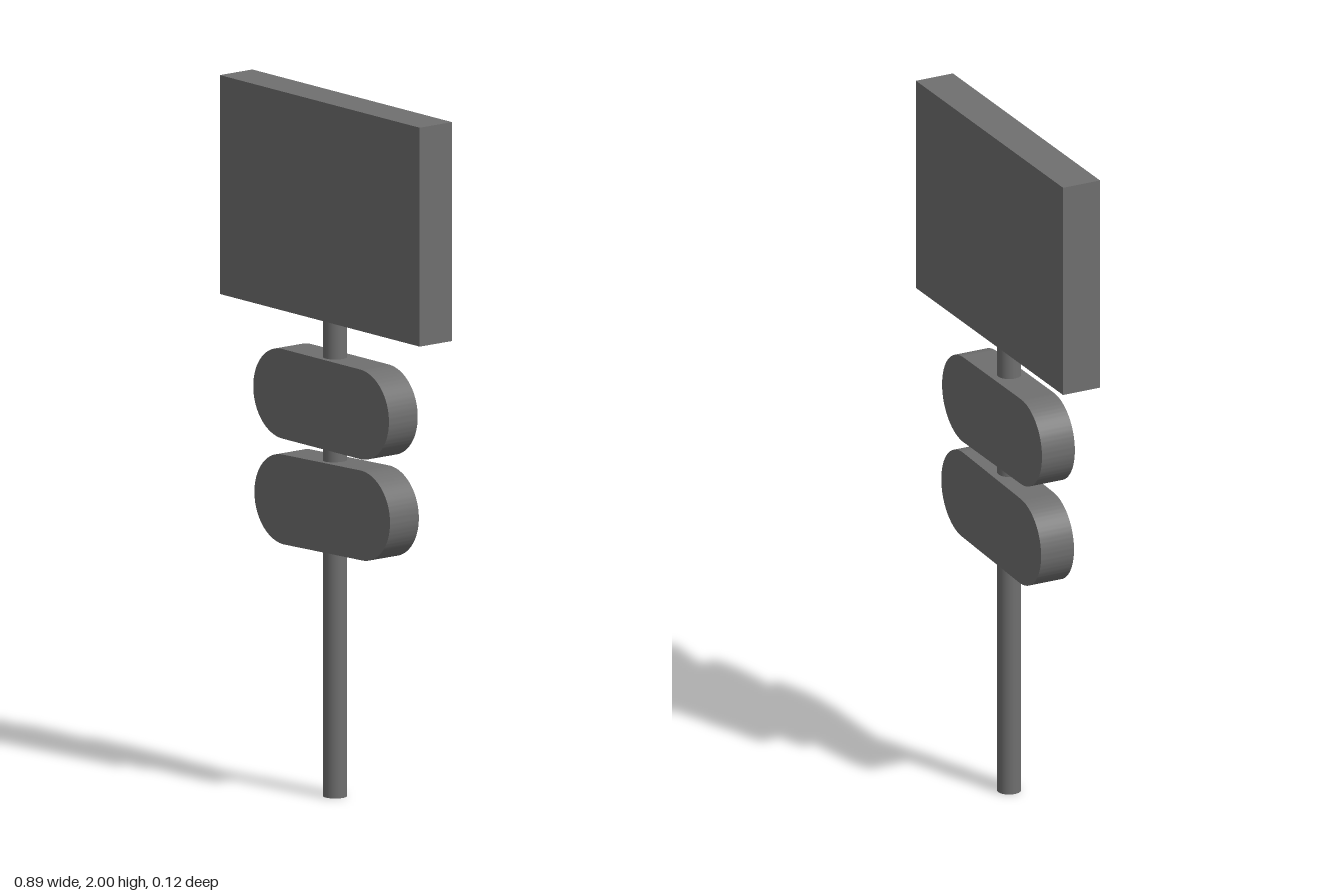
import * as THREE from 'three';
import { toCreasedNormals } from 'three/addons/utils/BufferGeometryUtils.js';

const material = new THREE.MeshStandardMaterial({ color: 0x6f6f6f });

function addPart(group, name, geometry, x, y, z) {
  const mesh = new THREE.Mesh(geometry, material);
  mesh.name = name;
  mesh.position.set(x, y, z);
  group.add(mesh);
  return mesh;
}

// Plate with straight top and bottom and half-round ends, centred on its origin
function pillGeometry(width, height, depth) {
  const r = height / 2;
  const half = width / 2 - r;
  const shape = new THREE.Shape();
  shape.absarc(half, 0, r, -Math.PI / 2, Math.PI / 2, false);
  shape.absarc(-half, 0, r, Math.PI / 2, Math.PI * 1.5, false);
  shape.closePath();
  const geometry = new THREE.ExtrudeGeometry(shape, { depth, bevelEnabled: false, curveSegments: 32 });
  geometry.translate(0, 0, -depth / 2);
  return toCreasedNormals(geometry, Math.PI / 6);
}

export function createModel() {
  const group = new THREE.Group();
  group.name = 'signpost';

  // Pole, running up into the board
  addPart(group, 'pole', new THREE.CylinderGeometry(0.034, 0.034, 1.45, 32), 0.001, 0.725, 0.004);

  // Large rectangular board
  addPart(group, 'board', new THREE.BoxGeometry(0.888, 0.628, 0.117), 0, 1.686, 0);

  // Two rounded plates, the lower one slightly tilted
  const pill = pillGeometry(0.603, 0.257, 0.104);
  addPart(group, 'upperPlate', pill, -0.001, 1.131, 0.001);
  addPart(group, 'lowerPlate', pill, 0.004, 0.835, 0.001).rotation.z = 0.038;

  return group;
}
